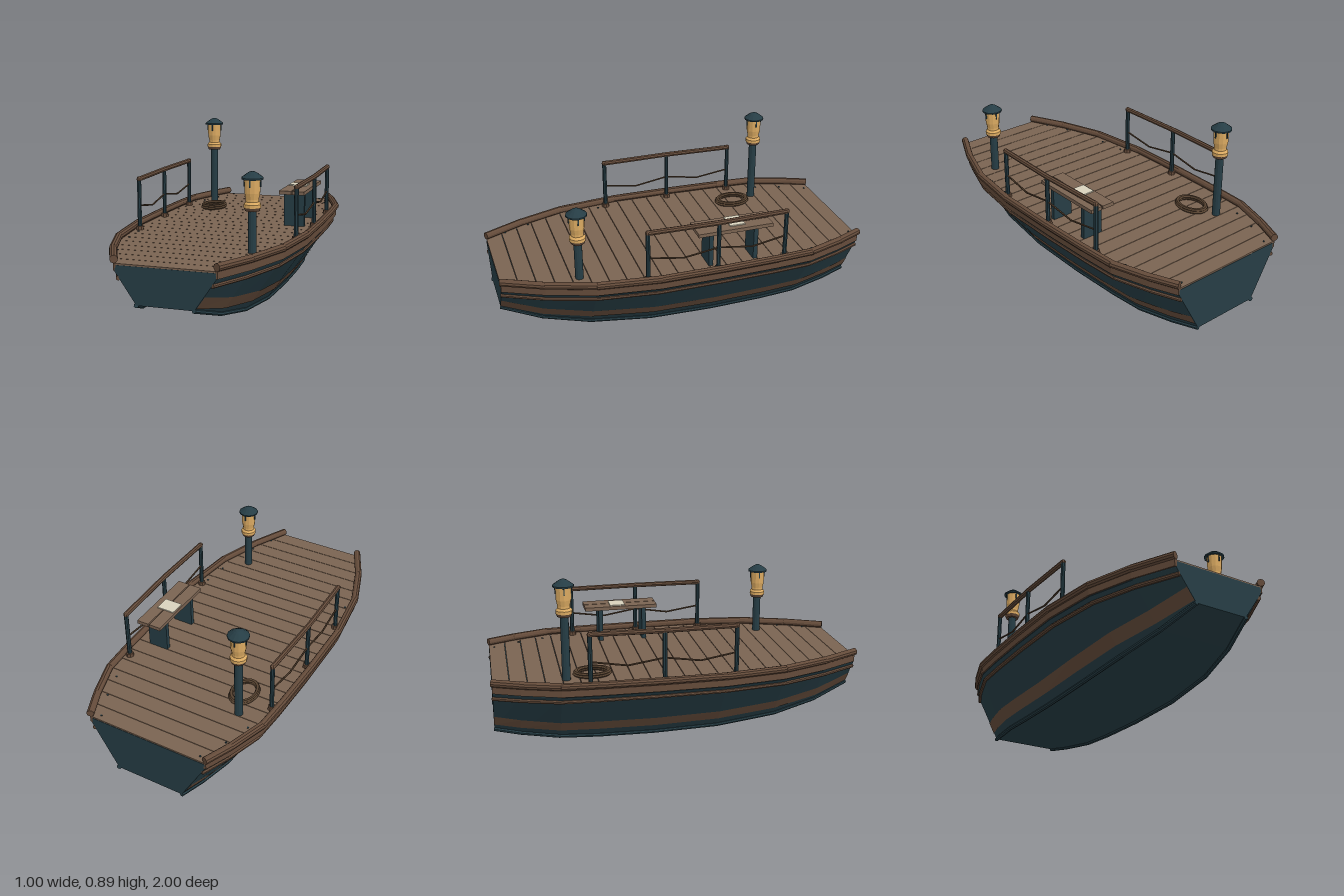
import * as THREE from 'three';

const mat = (name, color, extra = {}) => {
  const m = new THREE.MeshStandardMaterial({ color, flatShading: true, ...extra });
  m.name = name;
  return m;
};

// hull stations from bow to stern: z, deck half-width, chine height, stripe offset above chine
const STATIONS = [
  [0.99, 0.25, 0.165, 0.012], [0.78, 0.35, 0.097, 0.03], [0.53, 0.435, 0.052, 0.045],
  [0.2, 0.475, 0.023, 0.05], [-0.15, 0.475, 0.015, 0.05], [-0.45, 0.467, 0.019, 0.05],
  [-0.65, 0.455, 0.028, 0.045], [-0.85, 0.39, 0.048, 0.04], [-0.99, 0.33, 0.068, 0.035],
].map(([z, w, y, s]) => ({ z, w, y, s }));
const KNUCKLE = 0.32, DECK = 0.36, CHINE = 0.575;

// half-width of the deck at any z
function halfWidth(z) {
  for (let i = 0; i < STATIONS.length - 1; i++) {
    const a = STATIONS[i], b = STATIONS[i + 1];
    if (z <= a.z && z >= b.z) return a.w + (b.w - a.w) * (a.z - z) / (a.z - b.z);
  }
  return z > 0 ? 0.25 : 0.33;
}

// half-width of the sloping side at height y
const sideX = (s, y) => s.w * (CHINE + (1 - CHINE) * (y - s.y) / (KNUCKLE - s.y));

// skin joining the same cross-section line at every station
function loft(section, cap = false) {
  const rows = STATIONS.map(s => section(s).map(([x, y]) => [x, y, s.z]));
  const v = [];
  for (let i = 0; i < rows.length - 1; i++) {
    const A = rows[i], B = rows[i + 1];
    for (let j = 0; j < A.length - 1; j++)
      v.push(...A[j], ...B[j], ...B[j + 1], ...A[j], ...B[j + 1], ...A[j + 1]);
  }
  if (cap) {
    const F = rows[0], R = rows[rows.length - 1];
    for (let k = 1; k < F.length - 1; k++)
      v.push(...F[0], ...F[k], ...F[k + 1], ...R[0], ...R[k + 1], ...R[k]);
  }
  const g = new THREE.BufferGeometry();
  g.setAttribute('position', new THREE.Float32BufferAttribute(v, 3));
  g.computeVertexNormals();
  return g;
}

export function createModel() {
  const teal = mat('dark teal paint', 0x263d45);
  const deckWood = mat('deck wood', 0x7a6351);
  const trim = mat('trim wood', 0x644b3a);
  const rope = mat('rope', 0x55412f);
  const glow = mat('lantern amber', 0xdcab62);
  const paper = mat('paper', 0xd8d2bd);

  const model = new THREE.Group();
  model.name = 'boat';
  const add = (parent, name, geo, material, x = 0, y = 0, z = 0) => {
    const m = new THREE.Mesh(geo, material);
    m.name = name;
    m.position.set(x, y, z);
    parent.add(m);
    return m;
  };
  const group = (name, x = 0, y = 0, z = 0) => {
    const g = new THREE.Group();
    g.name = name;
    g.position.set(x, y, z);
    model.add(g);
    return g;
  };
  // straight rods through a list of points
  const rods = (parent, name, pts, r, material, sides = 8) => {
    for (let i = 0; i < pts.length - 1; i++) {
      const d = pts[i + 1].clone().sub(pts[i]);
      const m = add(parent, name, new THREE.CylinderGeometry(r, r, d.length() + r * 0.15, sides), material);
      m.position.copy(pts[i]).addScaledVector(d, 0.5);
      m.quaternion.setFromUnitVectors(new THREE.Vector3(0, 1, 0), d.normalize());
    }
  };
  const V = (x, y, z) => new THREE.Vector3(x, y, z);

  // hull: closed shell with transoms
  add(model, 'hull', loft(s => {
    const c = s.w * CHINE, t = DECK - 0.008;
    return [[-c, s.y], [c, s.y], [s.w, KNUCKLE], [s.w, t], [-s.w, t], [-s.w, KNUCKLE], [-c, s.y]];
  }, true), teal);

  for (const side of [1, -1]) {
    const order = pts => side > 0 ? pts : pts.map(([x, y]) => [-x, y]).reverse();
    const label = side > 0 ? 'left' : 'right';
    // painted stripe along the lower side
    add(model, label + 'Stripe', loft(s => order([s.y + s.s, s.y + s.s + 0.058]
      .map(y => [sideX(s, y) + 0.003, y - 0.001]))), trim);
    // plank band under the gunwale
    add(model, label + 'Band', loft(s => order([[s.w - 0.005, 0.324], [s.w + 0.008, 0.324],
      [s.w + 0.008, DECK], [s.w - 0.005, DECK]]), true), trim);
    // gunwale, rub rail and chine
    const line = f => STATIONS.map(s => { const [x, y] = f(s); return V(side * x, y, s.z); });
    rods(model, label + 'Gunwale', line(s => [s.w + 0.004, 0.38]), 0.02, trim, 10);
    rods(model, label + 'RubRail', line(s => [sideX(s, 0.29) + 0.003, 0.29]), 0.011, trim);
    rods(model, label + 'Chine', line(s => [s.w * CHINE, s.y]), 0.012, teal);

    // handrail with three posts and sagging rope
    const rail = group(label + 'Handrail');
    const posts = [0.26, -0.12, -0.5].map(z => V(side * (halfWidth(z) - 0.03), 0, z));
    for (const p of posts) {
      add(rail, 'railPost', new THREE.CylinderGeometry(0.012, 0.012, 0.28, 8), teal, p.x, 0.5, p.z);
      add(rail, 'postFoot', new THREE.CylinderGeometry(0.02, 0.022, 0.02, 8), trim, p.x, DECK + 0.01, p.z);
    }
    rods(rail, 'topRail', posts.map(p => V(p.x, 0.638, p.z)), 0.014, trim);
    for (const p of [posts[0], posts[2]])
      add(rail, 'railEnd', new THREE.SphereGeometry(0.0145, 8, 6), trim, p.x, 0.638, p.z);
    for (let i = 0; i < 2; i++) {
      const a = posts[i], b = posts[i + 1], ropePts = [];
      for (let k = 0; k <= 4; k++) {
        const p = a.clone().lerp(b, k / 4);
        p.y = 0.493 - 0.03 * (1 - Math.abs(k / 2 - 1));
        ropePts.push(p);
      }
      rods(rail, 'railRope', ropePts, 0.005, rope, 6);
    }

    // deck studs
    for (const [x, z] of [[0.29, -0.96], [0.352, -0.82], [0.395, -0.68], [0.425, 0.31],
      [0.41, 0.46], [0.35, 0.74], [0.295, 0.88]])
      add(model, 'deckStud', new THREE.CylinderGeometry(0.005, 0.005, 0.005, 6), teal, side * x, DECK + 0.002, z);
  }

  // deck planks laid across the beam
  const planks = 22, step = 1.98 / planks, gap = 0.0015;
  for (let i = 0; i < planks; i++) {
    const z0 = -0.99 + i * step + gap, z1 = z0 + step - 2 * gap;
    const zs = [z0, ...STATIONS.map(s => s.z).filter(z => z > z0 && z < z1), z1];
    const edge = zs.map(z => new THREE.Vector2(halfWidth(z), -z));
    const mirror = edge.map(p => new THREE.Vector2(-p.x, p.y)).reverse();
    const g = new THREE.ExtrudeGeometry(new THREE.Shape([...edge, ...mirror]), { depth: 0.009, bevelEnabled: false });
    g.rotateX(-Math.PI / 2);
    add(model, 'deckPlank', g, deckWood, 0, DECK - 0.009, 0);
  }

  // lamp posts
  const lathe = pts => new THREE.LatheGeometry(pts.map(([r, y]) => new THREE.Vector2(r, y)), 12);
  for (const [x, z, top] of [[-0.305, -0.61, 0.705], [0.3, 0.59, 0.572]]) {
    const lamp = group('lampPost', x, top, z);
    const h = top - DECK;
    add(lamp, 'post', new THREE.CylinderGeometry(0.022, 0.022, h, 12), teal, 0, -h / 2, 0);
    add(lamp, 'lanternFoot', lathe([[0, -0.003], [0.036, -0.003], [0.043, 0.014]]), trim);
    add(lamp, 'lanternGlass', lathe([[0.043, 0.014], [0.043, 0.03], [0.033, 0.042], [0.033, 0.055],
      [0.039, 0.085], [0.041, 0.155]]), glow);
    add(lamp, 'lanternCap', lathe([[0, 0.152], [0.055, 0.152], [0.055, 0.16], [0.025, 0.182],
      [0.012, 0.189], [0, 0.19]]), teal);
    for (let k = 0; k < 4; k++) {
      const a = k * Math.PI / 2;
      const s = add(lamp, 'capStrap', new THREE.BoxGeometry(0.006, 0.04, 0.006), teal,
        Math.sin(a) * 0.041, 0.135, Math.cos(a) * 0.041);
      s.rotation.y = a;
    }
  }

  // bench with two seat boards and a sheet of paper
  const bench = group('bench', 0.34, 0, -0.23);
  for (const x of [-0.037, 0.037])
    add(bench, 'seatBoard', new THREE.BoxGeometry(0.068, 0.02, 0.415), deckWood, x, 0.555, 0);
  for (const z of [-0.118, 0.133])
    add(bench, 'benchLeg', new THREE.BoxGeometry(0.115, 0.19, 0.024), teal, 0, 0.451, z);
  add(bench, 'paperSheet', new THREE.BoxGeometry(0.1, 0.006, 0.085), paper, -0.012, 0.568, -0.02);

  // coiled rope on the deck
  const coil = group('ropeCoil', -0.26, 0, -0.47);
  for (const [y, k] of [[0.37, 1], [0.382, 0.97]]) {
    const g = new THREE.TorusGeometry(0.064, 0.011, 6, 24);
    g.rotateX(Math.PI / 2);
    g.scale(k, 0.8, 1.38 * k);
    add(coil, 'ropeLoop', g, rope, 0, y, 0);
  }
  return model;
}
